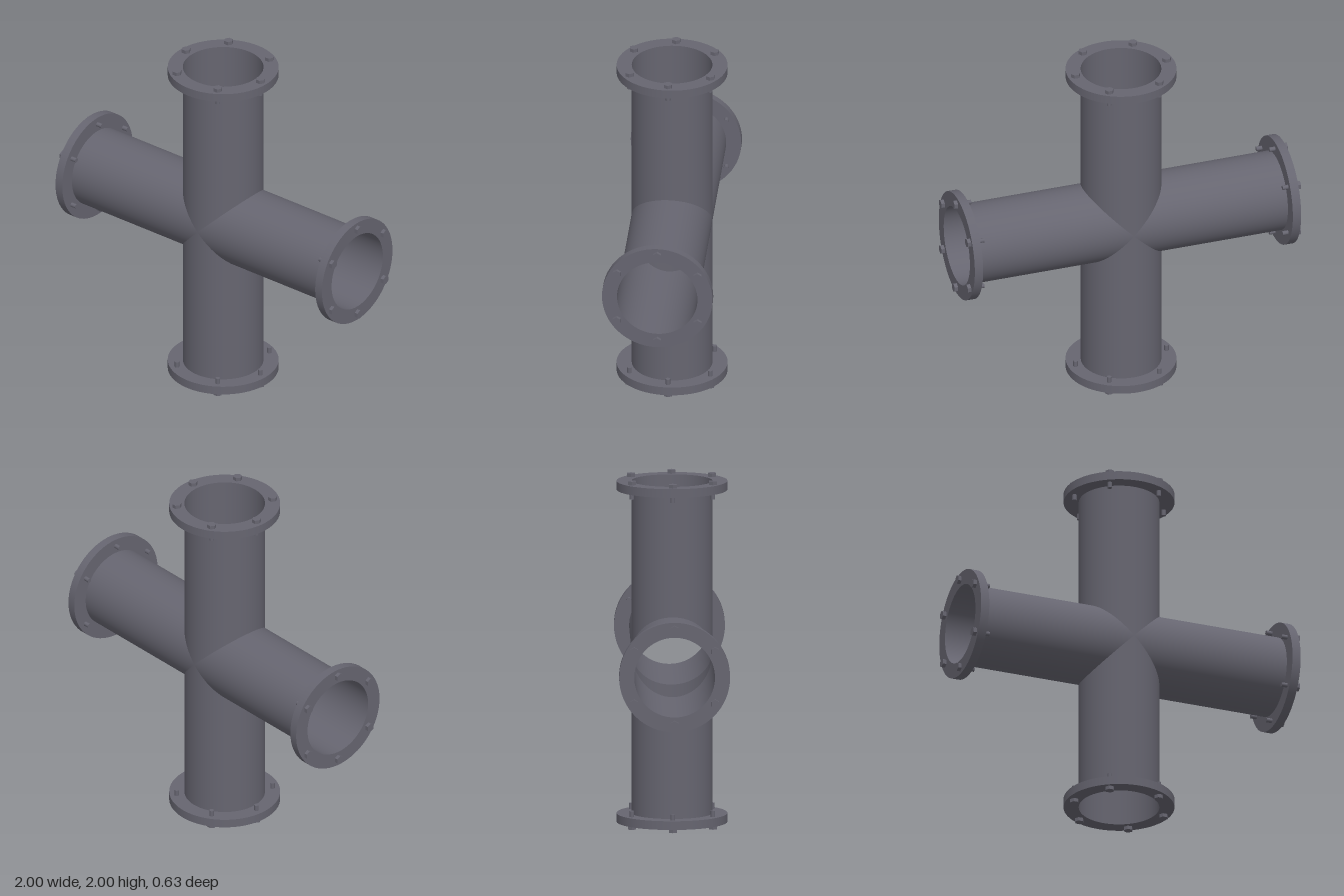
import * as THREE from 'three';
import { mergeGeometries } from 'three/addons/utils/BufferGeometryUtils.js';

const PIPE_R = 0.229, FLANGE_R = 0.315, FLANGE_T = 0.05;
const HEAD_H = 0.021, SHANK_OUT = 0.034;

// Pipe arm along +y, its inner end cut to mitre with its equal neighbours
function pipeGeometry(length) {
  const g = new THREE.CylinderGeometry(PIPE_R, PIPE_R, 1, 64, 1, true);
  const p = g.attributes.position;
  for (let i = 0; i < p.count; i++) {
    p.setY(i, p.getY(i) > 0 ? length : Math.abs(p.getX(i)));
  }
  return g;
}

// Flat ring with a rim; the pipe wall lines its hole
function flangeGeometry() {
  const rim = new THREE.CylinderGeometry(FLANGE_R, FLANGE_R, FLANGE_T, 64, 1, true);
  const outer = new THREE.RingGeometry(PIPE_R, FLANGE_R, 64).rotateX(-Math.PI / 2).translate(0, FLANGE_T / 2, 0);
  const inner = new THREE.RingGeometry(PIPE_R, FLANGE_R, 64).rotateX(Math.PI / 2).translate(0, -FLANGE_T / 2, 0);
  return mergeGeometries([rim, outer, inner]);
}

// Hex head on the outer face (y = 0), shank passing through the flange
function boltGeometry() {
  const head = new THREE.CylinderGeometry(0.026, 0.026, HEAD_H, 6).rotateY(Math.PI / 2).toNonIndexed();
  head.computeVertexNormals();
  head.translate(0, HEAD_H / 2, 0);
  const len = FLANGE_T + SHANK_OUT;
  const shank = new THREE.CylinderGeometry(0.013, 0.013, len, 16).translate(0, -len / 2, 0).toNonIndexed();
  return mergeGeometries([head, shank]);
}

export function createModel() {
  const steel = new THREE.MeshStandardMaterial({ color: 0x666570, side: THREE.DoubleSide });
  steel.name = 'greySteel';

  const model = new THREE.Group();
  model.name = 'crossPipeFitting';
  const flangeGeo = flangeGeometry(), boltGeo = boltGeometry();

  const add = (parent, name, geo, x = 0, y = 0, z = 0) => {
    const mesh = new THREE.Mesh(geo, steel);
    mesh.name = name;
    mesh.position.set(x, y, z);
    parent.add(mesh);
  };

  // Six bolts per flange
  const boltSpots = [[0.273, 0], [-0.273, 0]];
  for (const sx of [1, -1]) for (const sz of [1, -1]) boltSpots.push([sx * 0.15, sz * 0.23]);

  const cross = new THREE.Group();
  cross.name = 'cross';
  cross.position.set(-0.006, 1, 0);
  model.add(cross);

  const arms = [
    ['topArm', 0, 0.979],
    ['leftArm', -Math.PI / 2, 0.985],
    ['bottomArm', Math.PI, 0.979],
    ['rightArm', Math.PI / 2, 0.973],
  ];
  for (const [name, angle, length] of arms) {
    const arm = new THREE.Group();
    arm.name = name;
    arm.rotation.z = angle;
    add(arm, 'pipe', pipeGeometry(length));
    add(arm, 'flange', flangeGeo, 0, length - FLANGE_T / 2, 0);
    for (const [x, z] of boltSpots) add(arm, 'bolt', boltGeo, x, length, z);
    cross.add(arm);
  }
  return model;
}
